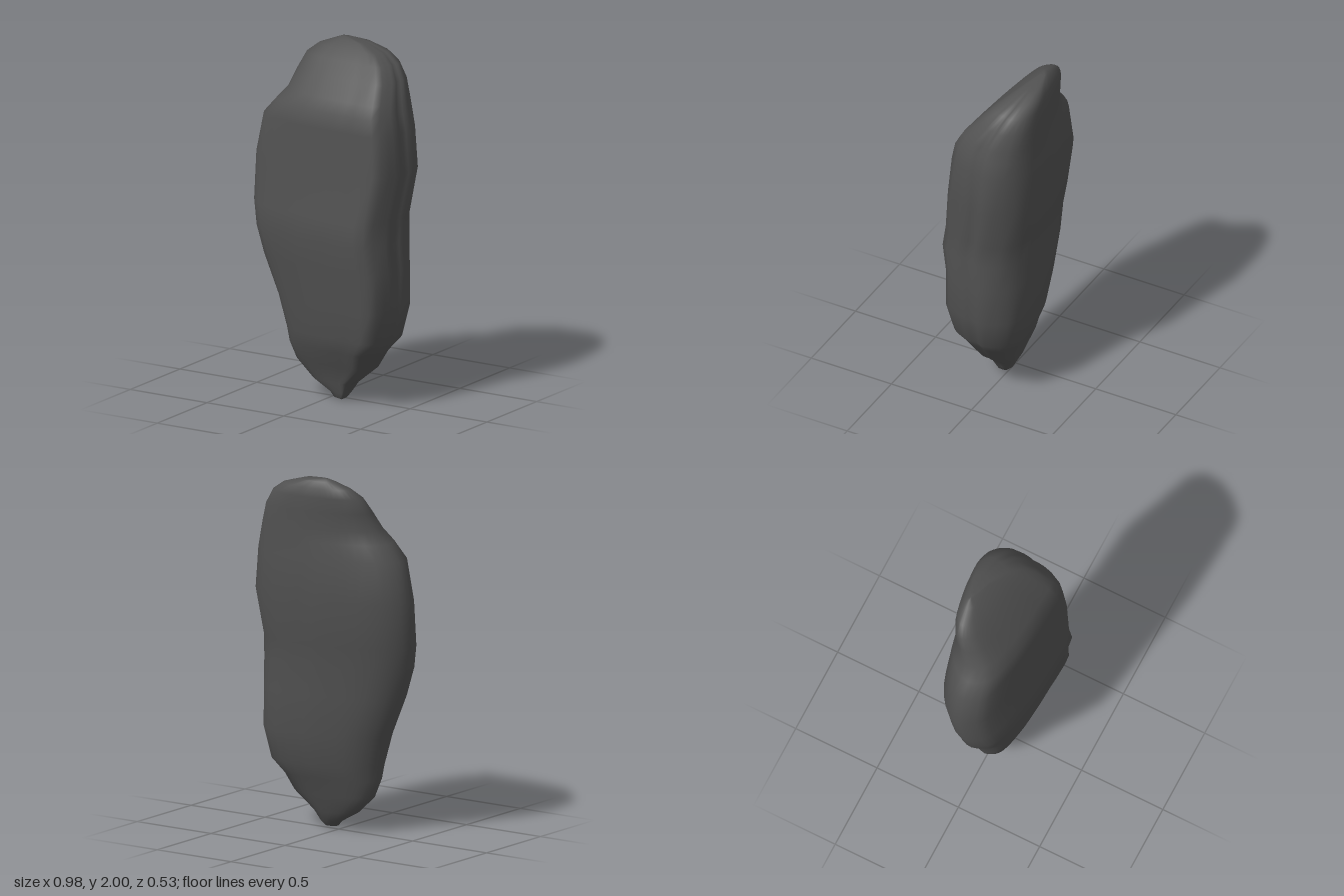
import * as THREE from 'three';

// Horizontal sections of the stone: height, left edge, right edge, back, front
const sections = [
  [0.01, 0.03, 0.1, 0.0, 0.06],
  [0.04, 0.0, 0.12, -0.03, 0.07],
  [0.1, -0.11, 0.16, -0.06, 0.09],
  [0.2, -0.22, 0.28, -0.1, 0.12],
  [0.3, -0.25, 0.34, -0.14, 0.18],
  [0.38, -0.27, 0.41, -0.18, 0.2],
  [0.56, -0.32, 0.455, -0.215, 0.235],
  [0.78, -0.41, 0.455, -0.22, 0.245],
  [0.94, -0.45, 0.45, -0.225, 0.27],
  [1.07, -0.48, 0.445, -0.235, 0.25],
  [1.33, -0.49, 0.485, -0.27, 0.22],
  [1.56, -0.44, 0.465, -0.255, 0.205],
  [1.65, -0.36, 0.44, -0.255, 0.19],
  [1.72, -0.3, 0.42, -0.25, 0.15],
  [1.82, -0.27, 0.385, -0.25, 0.07],
  [1.9, -0.24, 0.33, -0.245, 0.0],
  [1.95, -0.18, 0.25, -0.235, -0.06],
  [1.985, -0.09, 0.13, -0.21, -0.11],
  [2.0, -0.05, 0.0, -0.18, -0.15],
];

// Plan outline scaled to -1..1: narrow on one side, blocky on the other
const outline = [
  [-1, 0.1], [-0.92, 0.45], [-0.8, 0.62], [-0.5, 0.76], [-0.2, 0.86], [0.2, 0.93],
  [0.5, 0.95], [0.8, 0.97], [0.92, 0.62], [0.97, 0.35], [0.96, 0.1], [1, -0.1],
  [0.97, -0.4], [0.83, -0.78], [0.55, -0.98], [0.2, -0.96], [0, -0.93],
  [-0.3, -0.82], [-0.55, -0.7], [-0.8, -0.5], [-0.96, -0.2],
];

function stoneGeometry() {
  const n = 42;
  const curve = new THREE.CatmullRomCurve3(
    outline.map(([x, z]) => new THREE.Vector3(x, 0, z)), true);
  const ring = Array.from({ length: n }, (_, j) => curve.getPoint(j / n));
  const positions = [];
  const index = [];

  for (const [y, x0, x1, z0, z1] of sections) {
    const cx = (x0 + x1) / 2, cz = (z0 + z1) / 2;
    for (const p of ring) {
      // Shallow chipped hollows along the narrow edges
      const edge = Math.max(0, Math.abs(p.x) - 0.7);
      const chip = 1 - 0.15 * edge * (1 + Math.sin(y * 9 + p.z * 7));
      positions.push(cx + p.x * (x1 - x0) / 2, y, cz + p.z * chip * (z1 - z0) / 2);
    }
  }
  // Walls between neighbouring sections
  for (let i = 0; i < sections.length - 1; i++) {
    for (let j = 0; j < n; j++) {
      const k = (j + 1) % n;
      const a = i * n + j, b = i * n + k, c = a + n, d = b + n;
      index.push(a, b, d, a, d, c);
    }
  }
  // Closed tip and crown
  const last = (sections.length - 1) * n;
  const tip = positions.length / 3, crown = tip + 1;
  positions.push(0.08, 0, 0.04, -0.025, 2, -0.165);
  for (let j = 0; j < n; j++) {
    const k = (j + 1) % n;
    index.push(tip, k, j, crown, last + j, last + k);
  }

  const geometry = new THREE.BufferGeometry();
  geometry.setAttribute('position', new THREE.Float32BufferAttribute(positions, 3));
  geometry.setIndex(index);
  geometry.computeVertexNormals();
  return geometry;
}

export function createModel() {
  const group = new THREE.Group();
  group.name = 'standingStone';
  const stone = new THREE.MeshStandardMaterial({ color: 0x505050 });
  stone.name = 'darkStone';
  const mesh = new THREE.Mesh(stoneGeometry(), stone);
  mesh.name = 'stoneSlab';
  group.add(mesh);
  return group;
}
